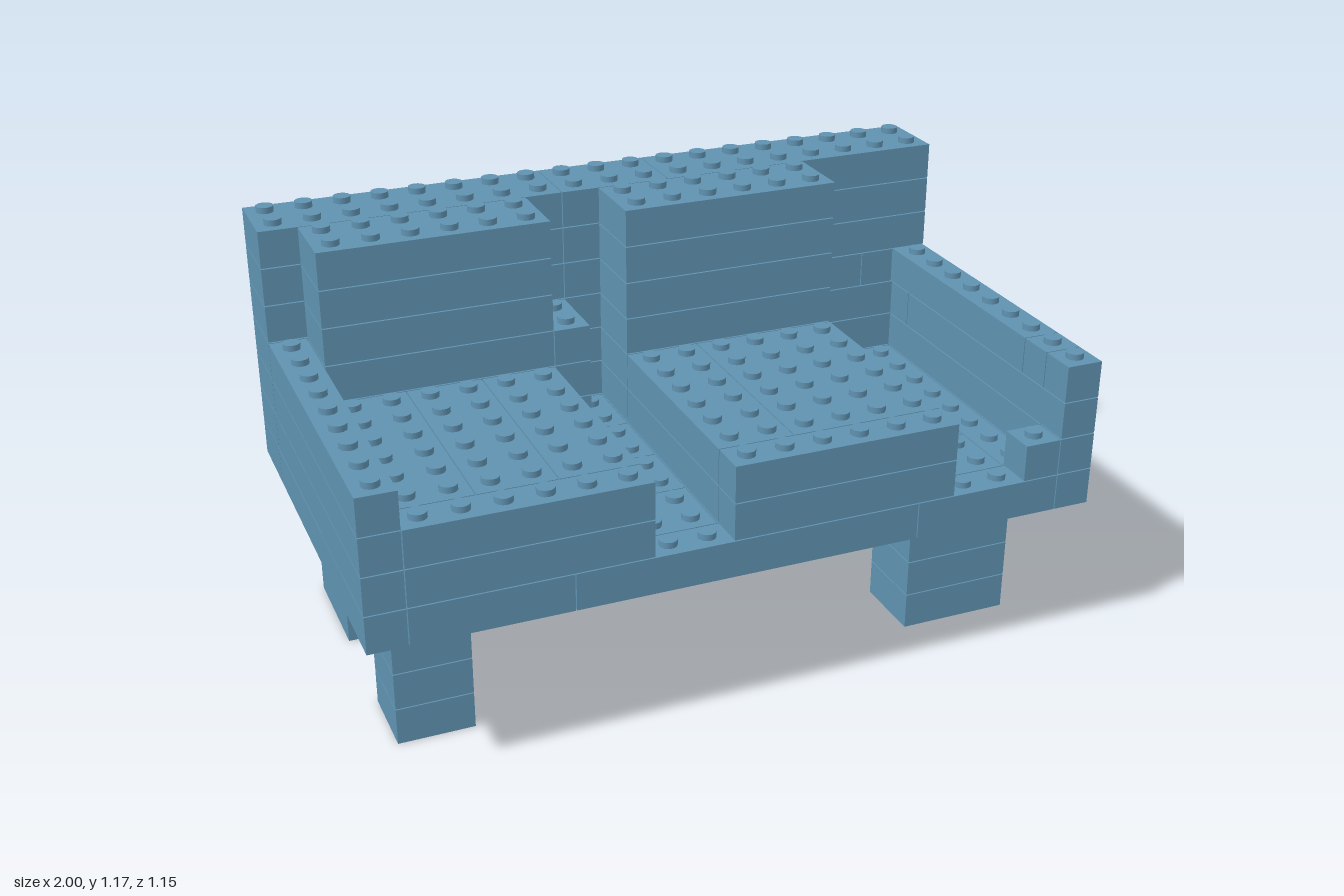
import * as THREE from 'three';
import { mergeGeometries } from 'three/addons/utils/BufferGeometryUtils.js';

const U = 2 / 19;      // stud pitch and layer height
const GAP = 0.003;     // joint between bricks
const NX = 19, NZ = 11;

export function createModel() {
  const group = new THREE.Group();
  const blue = new THREE.MeshStandardMaterial({ color: 0x6092b1 });
  blue.name = 'steel blue';

  const studShape = new THREE.CylinderGeometry(0.024, 0.024, 0.018, 16);

  // a brick covers columns c0..c1 (x) and rows r0..r1 (z, from the back) in one layer
  function brick(c0, c1, r0, r1, layer) {
    const w = c1 - c0 + 1, d = r1 - r0 + 1;
    const x = (c0 + w / 2 - NX / 2) * U, z = (r0 + d / 2 - NZ / 2) * U;
    const pieces = [new THREE.BoxGeometry(w * U - GAP, U - GAP, d * U - GAP)
      .translate(x, layer * U + (U - GAP) / 2, z)];
    for (let c = c0; c <= c1; c++) {
      for (let r = r0; r <= r1; r++) {
        pieces.push(studShape.clone().translate(
          (c + 0.5 - NX / 2) * U, (layer + 1) * U - GAP + 0.008, (r + 0.5 - NZ / 2) * U));
      }
    }
    return pieces;
  }

  function part(name, bricks) {
    const mesh = new THREE.Mesh(mergeGeometries(bricks.flatMap((b) => brick(...b))), blue);
    mesh.name = name;
    group.add(mesh);
  }

  // the same footprint repeated over several layers
  const stack = (from, to, ...prints) => {
    const out = [];
    for (let k = from; k <= to; k++) for (const p of prints) out.push([...p, k]);
    return out;
  };

  // legs
  part('frontLegRight', stack(0, 3, [1, 2, 7, 8]));
  part('frontLegLeft', stack(0, 3, [15, 17, 7, 8]));
  part('backLegRight', stack(0, 3, [1, 2, 1, 3]));
  const legLeft = [];
  for (let k = 0; k < 4; k++) {
    if (k % 2) legLeft.push([15, 16, 1, 3, k], [17, 17, 1, 3, k]);
    else legLeft.push([15, 17, 1, 2, k], [15, 17, 3, 3, k]);
  }
  part('backLegLeft', legLeft);

  // seat base
  part('seatBase', stack(4, 4,
    [0, 0, 2, 10], [1, 4, 10, 10], [5, 13, 10, 10], [14, 17, 10, 10], [18, 18, 10, 10],
    [1, 6, 2, 9], [7, 8, 2, 3], [7, 8, 4, 5], [7, 8, 6, 7], [7, 8, 8, 9],
    [9, 14, 2, 9], [15, 16, 2, 7], [15, 16, 8, 9], [17, 17, 2, 9], [18, 18, 2, 9]));

  // backrest wall
  const wall = [[0, 7, 0, 1], [8, 15, 0, 1]];
  part('backrest', [
    ...stack(4, 6, ...wall, [16, 18, 0, 1]),
    ...stack(7, 7, ...wall, [16, 16, 0, 1], [17, 17, 0, 1], [18, 18, 0, 0]),
    ...stack(8, 9, ...wall, [16, 18, 0, 1]),
    ...stack(10, 10, [0, 7, 0, 1], [8, 10, 0, 1], [11, 18, 0, 1]),
  ]);

  // seat cushions
  part('seatCushionRight', [
    ...stack(5, 5, [1, 6, 4, 10]),
    ...stack(6, 6, [1, 2, 4, 9], [3, 4, 4, 9], [5, 6, 4, 9], [1, 6, 10, 10])]);
  part('seatCushionLeft', [
    ...stack(5, 5, [9, 14, 4, 9], [9, 14, 10, 10]),
    ...stack(6, 6, [9, 10, 4, 9], [11, 14, 4, 9], [9, 14, 10, 10])]);

  // back cushions and the low filler between them
  part('backCushionRight', stack(5, 10, [1, 6, 2, 3]));
  part('backCushionLeft', stack(5, 10, [9, 14, 2, 3]));
  part('cushionFiller', stack(5, 7, [7, 7, 2, 3]));

  // arms
  part('armRight', stack(5, 7, [0, 0, 2, 10]));
  part('armLeft', [
    ...stack(5, 5, [18, 18, 2, 9], [18, 18, 10, 10]),
    ...stack(6, 6, [18, 18, 2, 2], [18, 18, 3, 10]),
    ...stack(7, 7, [18, 18, 1, 8], [18, 18, 9, 9], [18, 18, 10, 10])]);
  part('armStepLeft', stack(5, 5, [17, 17, 10, 10]));

  return group;
}
